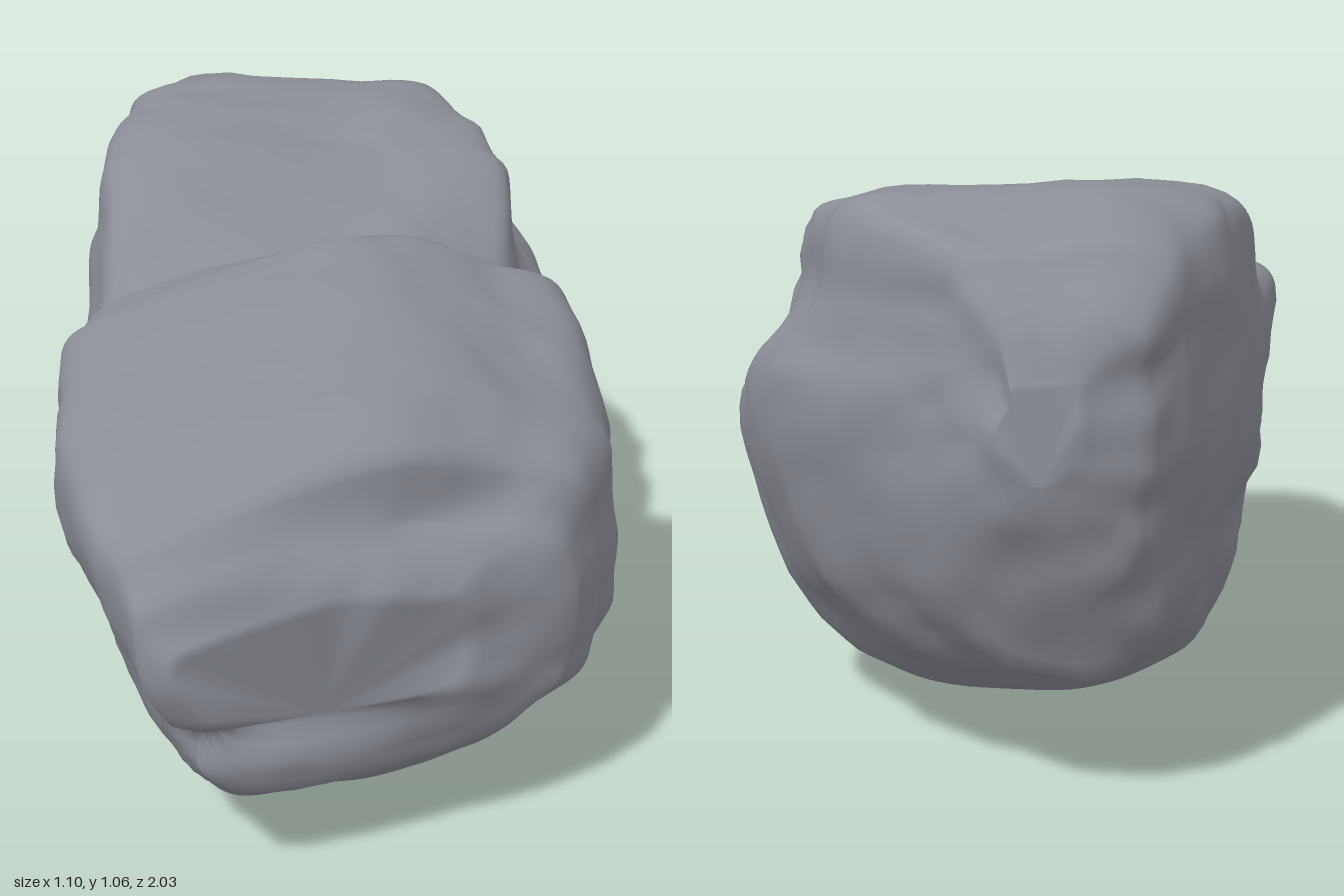
import * as THREE from 'three';
import { mergeVertices } from 'three/addons/utils/BufferGeometryUtils.js';

const { lerp, smoothstep } = THREE.MathUtils;

// Outlines of the front and rear halves (x, y), counterclockwise from the bottom
const FRONT = [[0, 0], [.22, .03], [.45, .16], [.515, .35], [.46, .79], [.3, .87],
  [.04, .945], [-.46, .82], [-.555, .75], [-.47, .32], [-.35, .06], [-.2, .01]];
const REAR = [[0, .07], [.22, .1], [.43, .27], [.54, .66], [.43, .84], [.39, 1.01],
  [.1, 1.04], [-.41, 1.03], [-.455, .87], [-.46, .5], [-.34, .18], [-.15, .08]];

// Stations along the rock: z, xMin, xMax, yMin, yMax
const STATIONS = [
  [-1, -.11, .02, .61, .77],
  [-.95, -.23, .06, .42, .87],
  [-.85, -.3, .17, .24, .99],
  [-.6, -.4, .44, .16, 1.06],
  [-.4, -.455, .52, .075, 1.045],
  [-.25, -.475, .545, .005, 1.01],
  [.06, -.495, .505, 0, .875],
  [.11, -.515, .51, 0, .915],
  [.2, -.535, .515, 0, .945],
  [.5, -.555, .515, .01, .88],
  [.75, -.5, .485, .09, .825],
  [.88, -.46, .43, .135, .76],
  [.95, -.43, .36, .19, .67],
  [.99, -.36, .15, .33, .55],
];

// Hollows and swellings: centre, radii, height along the surface normal
const RELIEF = [
  [.08, .67, .86, .24, .07, .25, -.045],
  [.16, .79, .72, .24, .05, .2, .02],
  [-.22, .32, .96, .3, .035, .2, -.05],
  [-.5, .45, .03, .15, .25, .06, -.025],
  [-.46, .4, -.35, .12, .06, .25, -.025],
];

// Smooth seeded value noise
const hash = (x, y, z) => {
  const s = Math.sin(x * 127.1 + y * 311.7 + z * 74.7 + 5.3) * 43758.5453;
  return (s - Math.floor(s)) * 2 - 1;
};
function noise(x, y, z) {
  const c = [x, y, z].map(Math.floor);
  const f = [x - c[0], y - c[1], z - c[2]].map(t => t * t * (3 - 2 * t));
  let sum = 0;
  for (let k = 0; k < 8; k++) {
    const b = [k & 1, (k >> 1) & 1, k >> 2];
    const w = b.reduce((p, bit, i) => p * (bit ? f[i] : 1 - f[i]), 1);
    sum += w * hash(c[0] + b[0], c[1] + b[1], c[2] + b[2]);
  }
  return sum;
}

const SIDES = 102;
const STEPS = 6;

// Resampled outline as fractions of its own width and height
function unitOutline(points) {
  const curve = new THREE.CatmullRomCurve3(points.map(([x, y]) => new THREE.Vector3(x, y, 0)), true, 'centripetal');
  const pts = Array.from({ length: SIDES }, (_, i) => curve.getPoint(i / SIDES));
  const box = new THREE.Box3().setFromPoints(pts);
  const size = box.getSize(new THREE.Vector3());
  return pts.map(p => [(p.x - box.min.x) / size.x, (p.y - box.min.y) / size.y]);
}

function rockGeometry() {
  const front = unitOutline(FRONT), rear = unitOutline(REAR);
  const rings = [];
  for (let i = 0; i < STATIONS.length - 1; i++)
    for (let k = 0; k < STEPS; k++)
      rings.push(STATIONS[i].map((v, n) => lerp(v, STATIONS[i + 1][n], k / STEPS)));
  rings.push(STATIONS[STATIONS.length - 1]);

  // Skin the rings, slanting them towards the front
  const position = [], index = [];
  rings.forEach(([z, x0, x1, y0, y1], i) => {
    const slant = .27 * smoothstep(z, -.3, .85);
    const share = smoothstep(z, -.1, .2);
    for (let j = 0; j < SIDES; j++) {
      const x = lerp(x0, x1, lerp(rear[j][0], front[j][0], share));
      const y = lerp(y0, y1, lerp(rear[j][1], front[j][1], share));
      position.push(x, y, z - slant * (x + .3));
      if (i === rings.length - 1) continue;
      const a = i * SIDES + j, b = i * SIDES + (j + 1) % SIDES;
      index.push(a, b, a + SIDES, b, b + SIDES, a + SIDES);
    }
  });

  // Close both ends
  const last = (rings.length - 1) * SIDES;
  for (let j = 1; j < SIDES - 1; j++) index.push(0, j + 1, j, last, last + j, last + j + 1);

  let geometry = new THREE.BufferGeometry();
  geometry.setAttribute('position', new THREE.Float32BufferAttribute(position, 3));
  geometry.setIndex(index);
  geometry = mergeVertices(geometry, 1e-4);
  geometry.computeVertexNormals();

  // Weather the surface with relief and noise, keeping the base calm
  const p = geometry.attributes.position, n = geometry.attributes.normal;
  for (let i = 0; i < p.count; i++) {
    const x = p.getX(i), y = p.getY(i), z = p.getZ(i);
    let d = .014 * noise(x * 6, y * 9, z * 6) + .007 * noise(x * 13, y * 18, z * 13);
    for (const [cx, cy, cz, rx, ry, rz, h] of RELIEF)
      d += h * Math.exp(-(((x - cx) / rx) ** 2) - ((y - cy) / ry) ** 2 - ((z - cz) / rz) ** 2);
    d *= smoothstep(y, -.02, .12);
    p.setXYZ(i, x + n.getX(i) * d, y + n.getY(i) * d, z + n.getZ(i) * d);
  }
  geometry.computeVertexNormals();
  return geometry;
}

export function createModel() {
  const stone = new THREE.MeshStandardMaterial({ color: 0x8a8d95 });
  stone.name = 'grey stone';
  const rock = new THREE.Mesh(rockGeometry(), stone);
  rock.name = 'boulder';
  const group = new THREE.Group();
  group.name = 'rock';
  group.add(rock);
  return group;
}
